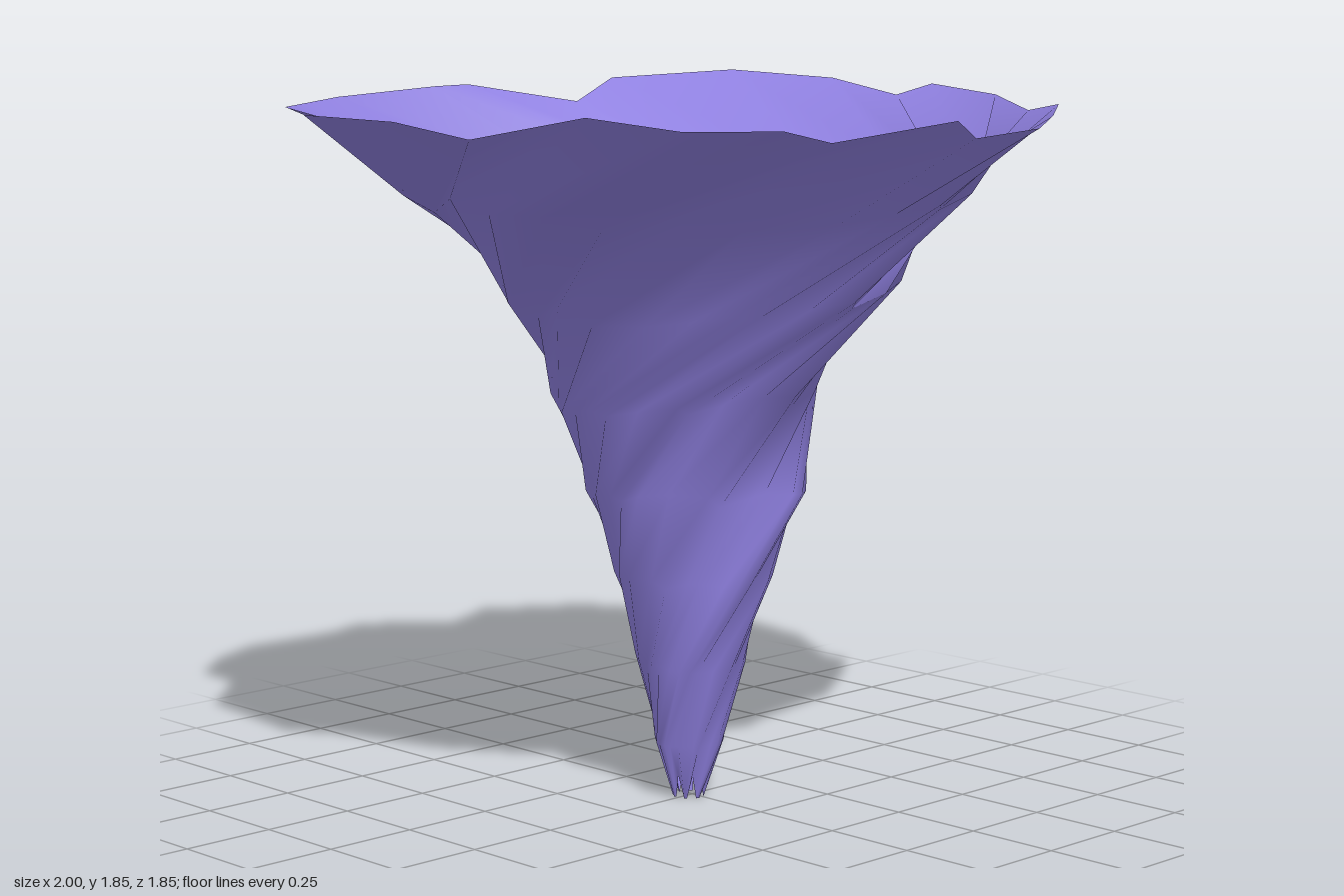
import * as THREE from 'three';

// Ragged lip of the funnel: [x, y, z] corners, running round once
const RIM = [
  [1, 1.82, -0.07], [0.92, 1.79, -0.13], [0.92, 1.83, -0.37], [0.78, 1.85, -0.63],
  [0.49, 1.83, -0.82], [0.32, 1.77, -0.78], [0.05, 1.82, -0.93], [-0.1, 1.82, -0.89],
  [-0.41, 1.8, -0.92], [-0.58, 1.79, -0.85], [-0.73, 1.79, -0.73], [-0.74, 1.77, -0.57],
  [-0.95, 1.79, -0.37], [-1, 1.79, 0.03], [-0.89, 1.75, 0.17], [-0.83, 1.81, 0.5],
  [-0.7, 1.78, 0.68], [-0.52, 1.78, 0.82], [-0.33, 1.745, 0.79], [-0.04, 1.79, 0.92],
  [0.12, 1.74, 0.84], [0.43, 1.75, 0.78], [0.63, 1.77, 0.66], [0.8, 1.79, 0.54],
  [0.81, 1.77, 0.43], [0.95, 1.8, 0.2],
];

// Rings from tip to lip: [mean radius, height, axis drift in x, in z]
const RINGS = [
  [0.04, 0.02, -0.01, 0], [0.09, 0.15, -0.01, 0], [0.135, 0.36, -0.01, 0.005],
  [0.19, 0.59, -0.02, 0.025], [0.265, 0.81, 0, 0], [0.345, 1.05, -0.01, -0.03],
  [0.475, 1.31, 0.01, 0.02], [0.68, 1.57, 0, 0], [0.93, 1.79, 0, 0],
];
const TWIST = 3.3; // radians of swirl per unit of height

function createFunnelGeometry() {
  const positions = [], index = [];
  const n = RIM.length, top = RINGS.length - 1;

  // Every ring repeats the lip's folds, shrunk and swirled round the axis
  RINGS.forEach(([radius, height, driftX, driftZ], row) => {
    RIM.forEach(([x, y, z], k) => {
      const r = radius * Math.hypot(x, z) / 0.93;
      const a = Math.atan2(z, x) + TWIST * (1.79 - height);
      const tooth = row === 0 ? (k % 3 === 0 ? 0.04 : -0.02) : 0;
      const lift = (y - 1.79) * (row / top);
      positions.push(driftX + r * Math.cos(a), height + lift + tooth, driftZ + r * Math.sin(a));
    });
  });

  // Skin between neighbouring rings
  for (let row = 0; row < top; row++) {
    for (let k = 0; k < n; k++) {
      const a = row * n + k, b = row * n + (k + 1) % n;
      const c = a + n, d = b + n;
      index.push(a, b, c, b, d, c);
    }
  }

  const geometry = new THREE.BufferGeometry();
  geometry.setAttribute('position', new THREE.Float32BufferAttribute(positions, 3));
  geometry.setIndex(index);
  geometry.computeVertexNormals();
  return geometry;
}

export function createModel() {
  const group = new THREE.Group();
  group.name = 'twistedFunnel';
  const material = new THREE.MeshStandardMaterial({ color: 0x8f80e0, side: THREE.DoubleSide });
  const funnel = new THREE.Mesh(createFunnelGeometry(), material);
  funnel.name = 'swirlingFunnel';
  group.add(funnel);
  return group;
}
